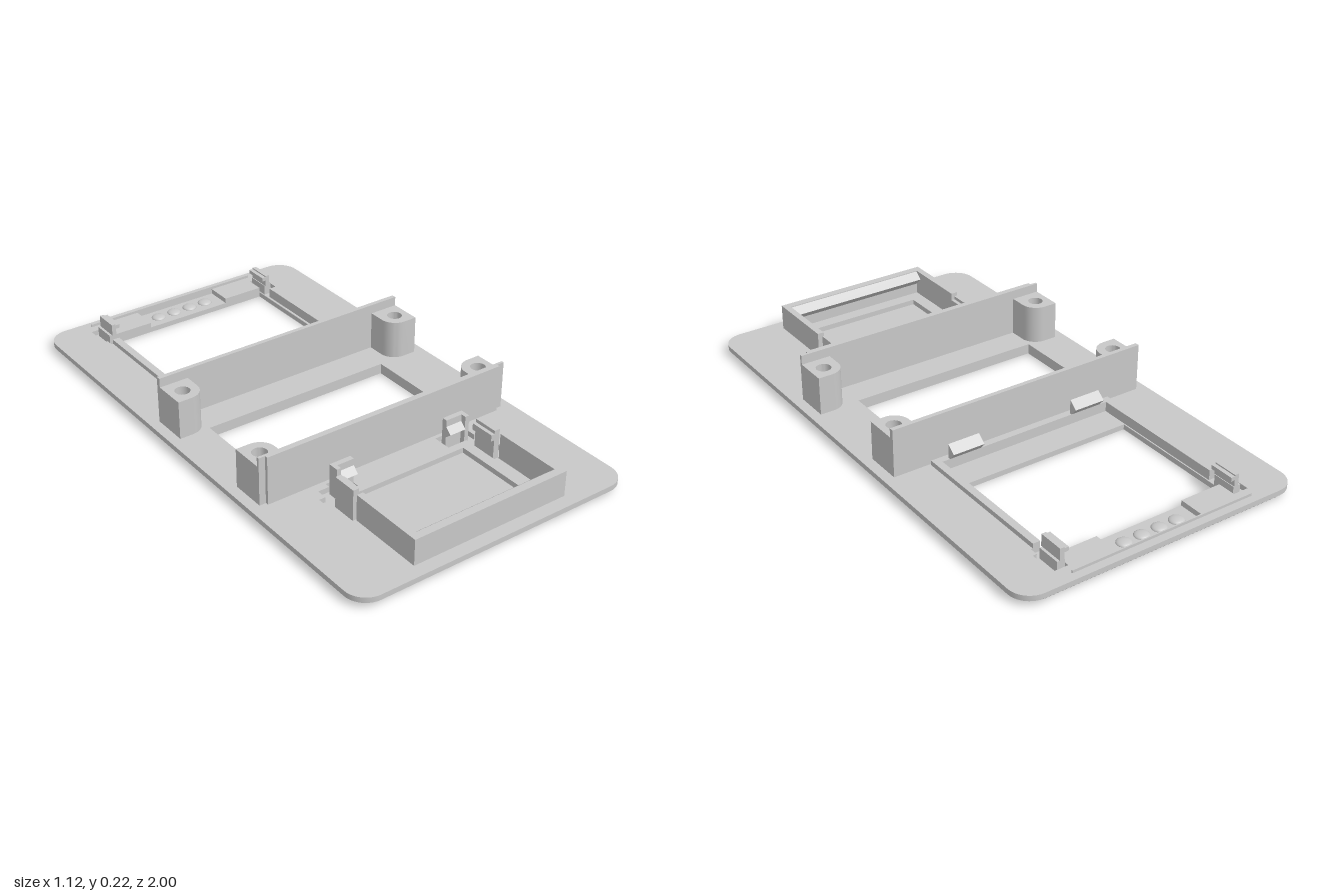
import * as THREE from 'three';
import { toCreasedNormals } from 'three/addons/utils/BufferGeometryUtils.js';

const grey = new THREE.MeshStandardMaterial({ color: 0xc8c8c8 });
grey.name = 'plastic grey';

export function createModel() {
  const model = new THREE.Group();
  model.name = 'facePlate';

  const add = (name, geometry) => {
    const mesh = new THREE.Mesh(geometry, grey);
    mesh.name = name;
    model.add(mesh);
    return mesh;
  };
  // box given by its limits on each axis
  const box = (name, x0, x1, y0, y1, z0, z1) => {
    const g = new THREE.BoxGeometry(x1 - x0, y1 - y0, z1 - z0);
    g.translate((x0 + x1) / 2, (y0 + y1) / 2, (z0 + z1) / 2);
    return add(name, g);
  };
  // plan points as a loop running counter-clockwise
  const toPoints = (pts) => {
    const loop = pts.map(([x, z]) => new THREE.Vector2(x, -z));
    return THREE.ShapeUtils.isClockWise(loop) ? loop.reverse() : loop;
  };
  const rect = (x0, x1, z0, z1) => [[x0, z0], [x1, z0], [x1, z1], [x0, z1]];
  const mirror = (pts) => pts.map(([x, z]) => [-x, z]);
  // plan outline in x and z, raised from y0 to y1
  const slab = (outline, holes, y0, y1) => {
    const shape = new THREE.Shape(toPoints(outline));
    shape.holes = holes.map((h) => new THREE.Path(toPoints(h).reverse()));
    const g = new THREE.ExtrudeGeometry(shape, { depth: y1 - y0, bevelEnabled: false });
    return g.rotateX(-Math.PI / 2).translate(0, y0, 0);
  };
  // profile in z and y, carried along x
  const barX = (name, x0, x1, profile) => {
    const shape = new THREE.Shape(profile.map(([z, y]) => new THREE.Vector2(-z, y)));
    const g = new THREE.ExtrudeGeometry(shape, { depth: x1 - x0, bevelEnabled: false });
    return add(name, g.rotateY(Math.PI / 2).translate(x0, 0, 0));
  };
  const arc = (cx, cz, r, a0, a1, n) => Array.from({ length: n + 1 }, (_, i) => {
    const a = a0 + (a1 - a0) * i / n;
    return [cx + r * Math.cos(a), cz + r * Math.sin(a)];
  });

  // base plate: chamfered lower layer, upper layer with the shallow recesses
  const r = 0.08, q = Math.PI / 2;
  const outline = [
    ...arc(0.56 - r, 1 - r, r, 0, q, 10), ...arc(-0.56 + r, 1 - r, r, q, 2 * q, 10),
    ...arc(-0.56 + r, -1 + r, r, 2 * q, 3 * q, 10), ...arc(0.56 - r, -1 + r, r, 3 * q, 4 * q, 10),
  ];
  const middleOpening = rect(-0.4, 0.36, -0.075, 0.29);
  const lower = slab(outline, [rect(-0.345, 0.34, -0.86, -0.36), middleOpening], 0, 0.02);
  const p = lower.attributes.position;
  for (let i = 0; i < p.count; i++) {
    const x = p.getX(i), z = p.getZ(i);
    if (p.getY(i) < 0.001 && (Math.abs(x) > 0.45 || Math.abs(z) > 0.9)) {
      p.setX(i, x * 0.54 / 0.56);
      p.setZ(i, z * 0.98);
    }
  }
  add('lowerPlate', toCreasedNormals(lower, 0.5));

  const screenHalf = [[0.175, -0.965], [0.175, -0.86], [0.34, -0.86], [0.34, -0.93],
    [0.4, -0.93], [0.4, -0.83], [0.385, -0.83], [0.385, -0.8], [0.35, -0.8], [0.35, -0.25]];
  const clipRecess = [[0.195, 0.44], [0.275, 0.44], [0.275, 0.46], [0.32, 0.46], [0.32, 0.5],
    [0.345, 0.5], [0.345, 0.655], [0.275, 0.655], [0.275, 0.51], [0.195, 0.51]];
  const upper = slab(outline, [
    [...screenHalf, ...mirror(screenHalf).reverse()], middleOpening,
    rect(-0.24, 0.235, 0.54, 0.87), clipRecess, mirror(clipRecess),
  ], 0.02, 0.04);
  add('upperPlate', toCreasedNormals(upper, 0.5));

  // low rim round the upper opening
  box('screenRimFront', -0.378, 0.378, 0.04, 0.058, -0.25, -0.222);
  box('screenRimBack', -0.38, 0.355, 0.04, 0.05, -0.97, -0.965);
  // shallow bumps on the ledge behind the opening
  for (let i = 0; i < 4; i++) {
    const dome = new THREE.SphereGeometry(0.028, 20, 6, 0, Math.PI * 2, 0, q);
    add('ledgeBump', dome.scale(1, 0.4, 1).translate(-0.108 + 0.072 * i, 0.02, -0.915));
  }

  for (const s of [-1, 1]) {
    const side = (name, x0, x1, ...rest) =>
      box(name, Math.min(s * x0, s * x1), Math.max(s * x0, s * x1), ...rest);
    const bar = (name, x0, x1, profile) =>
      barX(name, Math.min(s * x0, s * x1), Math.max(s * x0, s * x1), profile);

    side('screenRimSide', 0.35, 0.378, 0.04, 0.058, -0.8, -0.25);

    // screen clips
    bar('screenCatch', 0.195, 0.32, [[-0.24, 0.058], [-0.24, 0.112], [-0.273, 0.085], [-0.25, 0.058]]);
    side('screenClipFoot', 0.345, 0.375, 0.02, 0.06, -0.92, -0.83);
    side('screenClipArm', 0.348, 0.365, 0.06, 0.105, -0.92, -0.825);
    side('screenClipLip', 0.332, 0.348, 0.085, 0.1, -0.92, -0.825);

    // lower tray sides and clips
    side('traySide', 0.29, 0.315, 0.04, 0.138, 0.66, 0.92);
    side('trayClipArm', 0.287, 0.31, 0.02, 0.138, 0.54, 0.635);
    side('trayClipLip', 0.273, 0.287, 0.1, 0.125, 0.54, 0.635);
    side('trayBackPost', 0.198, 0.265, 0.02, 0.138, 0.47, 0.49);
    side('trayBackPostWing', 0.265, 0.282, 0.02, 0.138, 0.47, 0.51);
    bar('trayBackCatch', 0.198, 0.265, [[0.49, 0.07], [0.49, 0.112], [0.514, 0.09]]);
  }

  // tray front wall with a sloped retaining ledge
  box('trayFront', -0.315, 0.315, 0.04, 0.138, 0.92, 0.95);
  barX('trayLedge', -0.29, 0.29, [[0.92, 0.08], [0.92, 0.135], [0.89, 0.11]]);

  // cross walls
  box('backWall', -0.52, 0.52, 0.04, 0.222, -0.215, -0.198);
  box('frontWall', -0.52, 0.52, 0.04, 0.222, 0.403, 0.413);
  box('frontWallFace', -0.495, 0.49, 0.04, 0.222, 0.413, 0.425);

  // screw posts: square on the outside, rounded towards the middle opening
  const post = (s, zWall, zFar) => {
    const d = Math.sign(zFar - zWall), cz = zFar - d * 0.06;
    const pts = [[0.52, zWall], [0.407, zWall], ...arc(0.467, cz, 0.06, Math.PI, Math.PI - d * q, 10), [0.52, zFar]];
    const hole = arc(0.467, cz, 0.028, 0, 4 * q, 20).slice(0, -1);
    const place = (list) => list.map(([x, z]) => [s * x, z]);
    add('screwPost', toCreasedNormals(slab(place(pts), [place(hole)], 0.04, 0.187), 0.6));
  };
  for (const s of [-1, 1]) {
    post(s, -0.198, -0.075);
    post(s, 0.403, 0.28);
  }
  return model;
}
